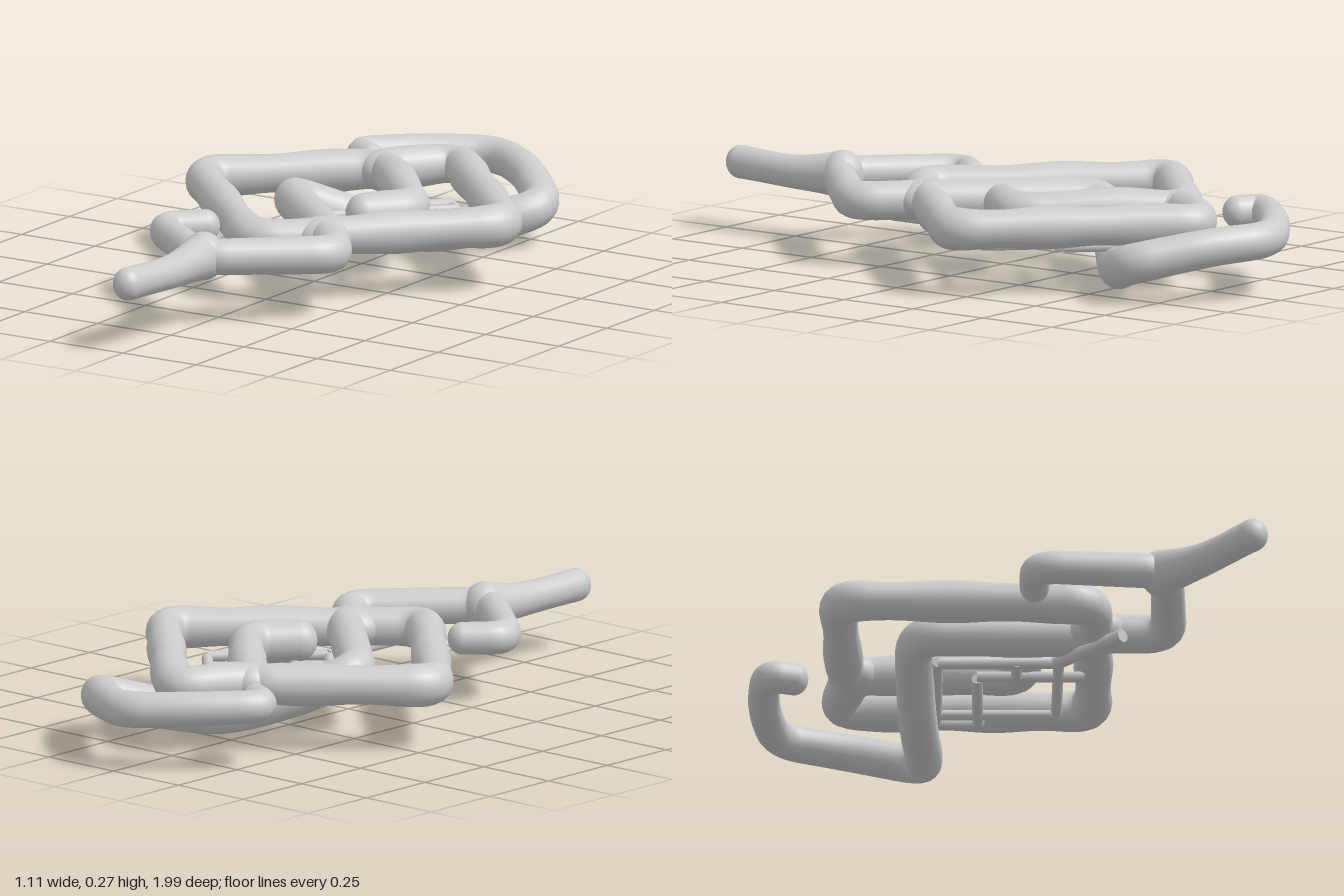
import * as THREE from 'three';

const material = new THREE.MeshStandardMaterial({ color: 0xcccccc });
const V = (p) => new THREE.Vector3(...p);

// Polyline with each corner replaced by a short quadratic bend
function roundedPath(points, cut = 0.08) {
  const p = points.map(V);
  const path = new THREE.CurvePath();
  let from = p[0];
  for (let i = 1; i < p.length - 1; i++) {
    const near = (q) => p[i].clone().lerp(q, Math.min(0.45, cut / p[i].distanceTo(q)));
    const a = near(p[i - 1]), b = near(p[i + 1]);
    path.add(new THREE.LineCurve3(from, a));
    path.add(new THREE.QuadraticBezierCurve3(a, p[i], b));
    from = b;
  }
  path.add(new THREE.LineCurve3(from, p[p.length - 1]));
  return path;
}

// Round-ended tube whose thickness follows radiusAt(t), slightly taller than wide
function strand(name, curve, radiusAt, tall = 1.1) {
  const group = new THREE.Group();
  group.name = name;
  const n = Math.max(24, Math.round(curve.getLength() * 70)), sides = 20;
  const geo = new THREE.TubeGeometry(curve, n, 1, sides, false);
  const pos = geo.attributes.position, v = new THREE.Vector3();
  for (let i = 0; i <= n; i++) {
    const c = curve.getPointAt(i / n), r = radiusAt(i / n);
    for (let j = 0; j <= sides; j++) {
      const k = i * (sides + 1) + j;
      v.fromBufferAttribute(pos, k).sub(c).multiplyScalar(r);
      v.y *= tall;
      v.add(c);
      pos.setXYZ(k, v.x, v.y, v.z);
    }
  }
  group.add(new THREE.Mesh(geo, material));
  for (const t of [0, 1]) {
    const r = radiusAt(t);
    const cap = new THREE.Mesh(new THREE.SphereGeometry(r, 20, 14), material);
    cap.position.copy(curve.getPointAt(t));
    cap.scale.y = tall;
    group.add(cap);
  }
  return group;
}

function blob(name, position, scale) {
  const mesh = new THREE.Mesh(new THREE.SphereGeometry(1, 24, 16), material);
  mesh.name = name;
  mesh.position.set(...position);
  mesh.scale.set(...scale);
  return mesh;
}

function rod(name, a, b, radius) {
  const from = V(a), to = V(b), dir = to.clone().sub(from);
  const mesh = new THREE.Mesh(new THREE.CylinderGeometry(radius, radius, dir.length(), 10), material);
  mesh.name = name;
  mesh.position.copy(from).add(to).multiplyScalar(0.5);
  mesh.quaternion.setFromUnitVectors(new THREE.Vector3(0, 1, 0), dir.normalize());
  return mesh;
}

export function createModel() {
  const model = new THREE.Group();
  model.name = 'knotPendant';
  // gentle hand-modelled swelling along a strand
  const wavy = (r, waves) => (t) => r * (1 + 0.06 * Math.sin(t * waves * Math.PI * 2));

  // Left diamond, ending in the arm that curls into the centre
  model.add(strand('leftDiamond', roundedPath([
    [0.115, 0.2, -0.085], [0.215, 0.2, -0.2], [0.02, 0.21, -0.41], [-0.13, 0.2, -0.56],
    [-0.525, 0.195, -0.205], [-0.01, 0.19, 0.315], [0.14, 0.19, 0.18],
  ]), wavy(0.054, 6)));

  // Right diamond
  model.add(strand('rightDiamond', roundedPath([
    [-0.12, 0.2, -0.54], [0.01, 0.2, -0.74], [0.525, 0.195, -0.21], [0.14, 0.19, 0.17],
  ]), wavy(0.054, 5)));

  // Inner strand that dips beneath the diamonds and ends as the rear hook
  model.add(strand('rearHook', roundedPath([
    [0.15, 0.19, 0.15], [-0.22, 0.185, -0.2], [-0.07, 0.105, -0.34], [0.07, 0.056, -0.46],
    [0.2, 0.075, -0.57], [0.335, 0.12, -0.7], [0.16, 0.165, -0.87], [0, 0.175, -0.965],
    [-0.17, 0.185, -0.85], [-0.315, 0.19, -0.7], [-0.24, 0.19, -0.66],
  ]), (t) => 0.055 - 0.012 * Math.max(0, t - 0.5) * 2));

  // Front hook
  model.add(strand('frontHook', roundedPath([
    [0.14, 0.19, 0.17], [0.295, 0.19, 0.32], [0, 0.2, 0.6], [-0.295, 0.195, 0.36], [-0.2, 0.195, 0.265],
  ]), (t) => 0.053 - 0.01 * t));

  // Stem, waisted in the middle
  model.add(strand('stem', new THREE.CatmullRomCurve3(
    [[0, 0.2, 0.58], [0, 0.19, 0.75], [-0.012, 0.195, 0.955]].map(V),
  ), (t) => 0.038 + 0.026 * (1 - t) ** 3 + 0.006 * t));

  // Fused joints
  model.add(blob('frontJoint', [0.145, 0.19, 0.18], [0.085, 0.06, 0.085]));
  model.add(blob('rearJoint', [-0.115, 0.2, -0.54], [0.075, 0.06, 0.075]));

  // Lattice of thin rods under the centre, as [x, z, x, z]
  const lattice = new THREE.Group();
  lattice.name = 'lattice';
  const rods = [
    [-0.12, -0.2, 0.12, 0.05], [0.12, 0.05, 0.365, -0.2], [0.365, -0.2, 0.11, -0.46],
    [-0.12, -0.2, 0.17, -0.49], [0.03, -0.19, 0.26, -0.41], [0.03, -0.19, 0.245, 0.03],
    [0.12, -0.54, 0.265, -0.39], [0.12, -0.54, 0, -0.42], [0.03, -0.03, 0.1, -0.1],
  ];
  rods.forEach(([x1, z1, x2, z2], i) => {
    const y = 0.128 + 0.006 * (i % 2);
    lattice.add(rod('latticeRod', [x1, y, z1], [x2, y, z2], 0.016));
  });
  lattice.add(rod('latticeStem', [0.115, 0.13, 0.04], [0.115, 0.13, 0.31], 0.02));
  model.add(lattice);

  return model;
}
